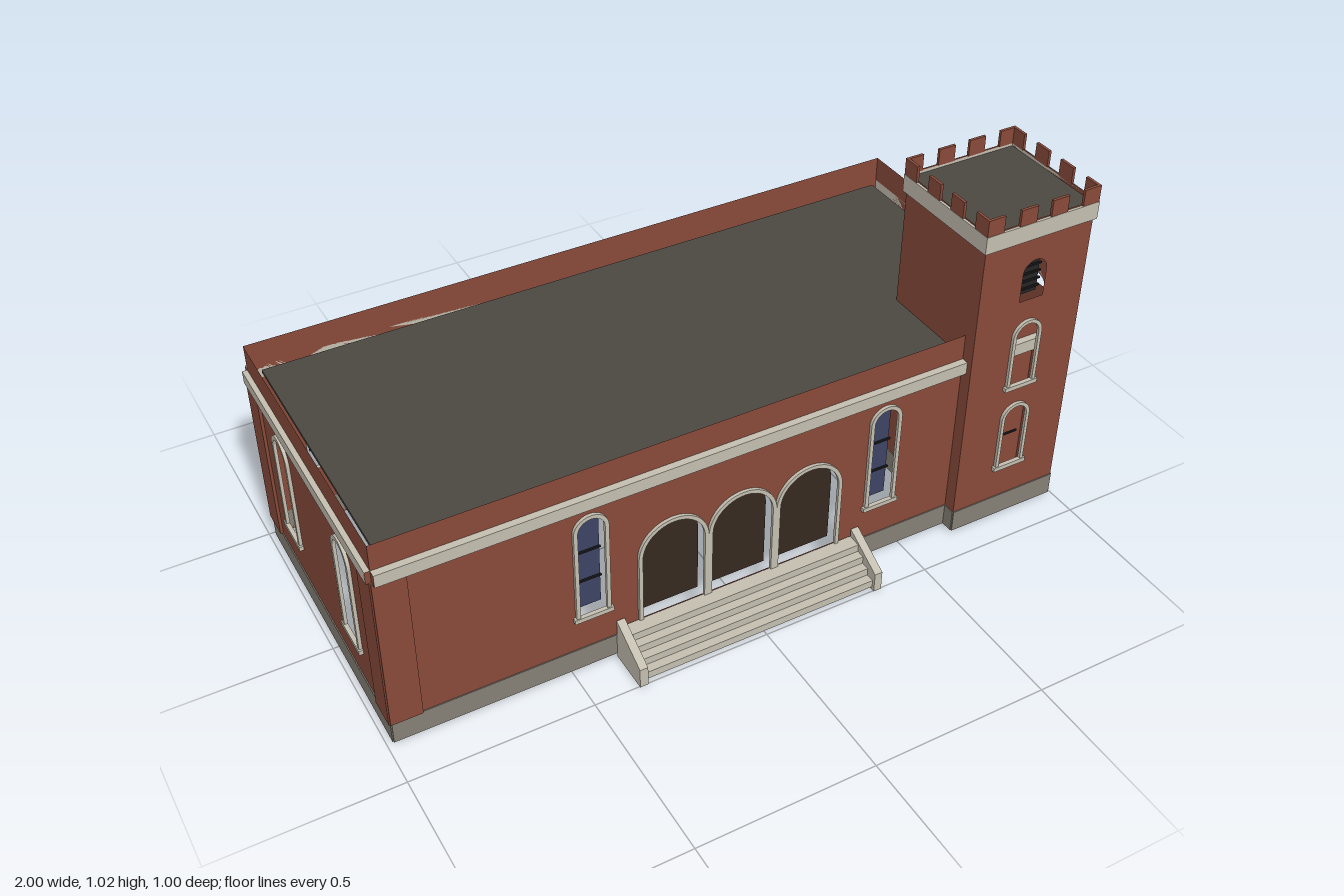
import * as THREE from 'three';

const mat = (name, color, side = THREE.FrontSide) => {
  const m = new THREE.MeshStandardMaterial({ color, side });
  m.name = name;
  return m;
};

export function createModel() {
  const D = THREE.DoubleSide;
  const brick = mat('brick', 0x884a3a, D);
  const stone = mat('pale stone', 0xc4beb0);
  const base = mat('plinth stone', 0x857f75);
  const roofing = mat('roofing', 0x4b4842);
  const glass = mat('blue glass', 0x3d4365, D);
  const timber = mat('dark timber', 0x35291f, D);
  const louver = mat('louver', 0x242424, D);
  const iron = mat('glazing bar', 0x1c1c20);

  const model = new THREE.Group();
  model.name = 'hallWithTower';

  const add = (parent, name, geo, material, x = 0, y = 0, z = 0) => {
    const m = new THREE.Mesh(geo, material);
    m.name = name;
    m.position.set(x, y, z);
    parent.add(m);
    return m;
  };
  const box = (parent, name, material, w, h, d, x, y, z) =>
    add(parent, name, new THREE.BoxGeometry(w, h, d), material, x, y, z);

  // Round-headed outline: half width r, bottom b, springing line s
  const arch = (P, x, r, b, s) => {
    const p = new P();
    p.moveTo(x - r, b);
    p.lineTo(x + r, b);
    p.lineTo(x + r, s);
    p.absarc(x, s, r, 0, Math.PI, false);
    p.closePath();
    return p;
  };
  // Surround following the legs and the arch
  const surround = (R, r, b, s) => {
    const p = new THREE.Shape();
    p.moveTo(-R, b);
    p.lineTo(-R, s);
    p.absarc(0, s, R, Math.PI, 0, true);
    p.lineTo(R, b);
    p.lineTo(r, b);
    p.lineTo(r, s);
    p.absarc(0, s, r, 0, Math.PI, false);
    p.lineTo(-r, b);
    p.closePath();
    return new THREE.ExtrudeGeometry(p, { depth: 0.009, bevelEnabled: false, curveSegments: 14 });
  };

  // Thin wall with arched openings; local +z is the outside
  const wall = (name, x, z, turn, width, top, openings) => {
    const g = new THREE.Group();
    g.name = name;
    g.position.set(x, 0, z);
    g.rotation.y = turn;
    model.add(g);
    const h = width / 2;
    const s = new THREE.Shape([[-h, 0.01], [h, 0.01], [h, top], [-h, top]].map(p => new THREE.Vector2(...p)));
    openings.forEach(o => s.holes.push(arch(THREE.Path, o.x, o.r, o.b, o.s)));
    add(g, 'brickWall', new THREE.ShapeGeometry(s, 14), brick);
    box(g, 'plinth', base, width, 0.066, 0.003, 0, 0.043, 0.0015);
    openings.forEach(o => {
      const w = new THREE.Group();
      w.name = o.name;
      w.position.x = o.x;
      g.add(w);
      if (o.R) add(w, 'surround', surround(o.R, o.r, o.b, o.s), stone);
      if (o.sill) box(w, 'sill', stone, o.R * 2 + 0.012, 0.013, 0.012, 0, o.b - 0.005, 0.006);
      if (o.pane) add(w, 'pane', new THREE.ShapeGeometry(arch(THREE.Shape, 0, o.r, o.b, o.s), 14), o.pane, 0, 0, -0.028);
      if (o.mullion) box(w, 'mullion', stone, 0.009, 0.29, 0.006, 0, o.b + 0.145, -0.024);
      (o.bars || []).forEach(y => box(w, 'glazingBar', iron, o.r * 2, 0.005, 0.005, 0, y, -0.021));
    });
    return g;
  };

  const sideWindow = (x, pane = glass) => ({
    name: 'archedWindow', x, r: 0.043, R: 0.055, b: 0.187, s: 0.45, sill: true, pane, mullion: true, bars: [0.275, 0.366]
  });
  const frontWindow = x => ({
    name: 'frontWindow', x, r: 0.037, R: 0.048, b: 0.187, s: 0.462, sill: true, pane: glass, bars: [0.28, 0.374]
  });
  const doorway = x => ({ name: 'archedDoorway', x, r: 0.089, R: 0.1, b: 0.1, s: 0.304, pane: timber });

  // Main hall
  const CX = -0.01, CZ = -0.052, W = 1.947, L = 0.856;
  const hall = [
    ['frontWall', CX, CZ + L / 2, 0, W,
      [-0.427, 0.427].map(frontWindow).concat([-0.2, 0, 0.2].map(doorway))],
    ['backWall', CX, CZ - L / 2, Math.PI, W,
      [-2.5, -1.5, -0.5, 0.5, 1.5, 2.5].map(i => sideWindow(i * 0.324, i > 1 ? null : glass))],
    ['rightWall', CX + W / 2, CZ, Math.PI / 2, L, [-0.216, 0.208].map(x => sideWindow(x))],
    ['leftWall', CX - W / 2, CZ, -Math.PI / 2, L, [-0.208, 0.216].map(x => sideWindow(x))]
  ];
  hall.forEach(([name, x, z, turn, width, openings], i) => {
    const g = wall(name, x, z, turn, width, 0.65, openings);
    // Frieze with brick ends, and corner pilasters
    const d = i < 2 ? 0.02 : 0.014;
    box(g, 'frieze', [brick, brick, stone, stone, stone, stone], width, 0.036, d, 0, 0.557, d / 2);
    [-1, 1].forEach(s => box(g, 'cornerPilaster', brick, 0.085, 0.464, 0.008, s * (width / 2 - 0.038), 0.308, 0.004));
  });
  box(model, 'hallRoof', roofing, 1.885, 0.01, 0.81, CX, 0.575, -0.05);

  // Tower
  const TX = 0.818, TZ = 0.245, TW = 0.337, H = TW / 2;
  const towerOpenings = [
    { name: 'lowerWindow', x: 0, r: 0.036, R: 0.046, b: 0.19, s: 0.35, sill: true, bars: [0.272] },
    { name: 'upperWindow', x: 0, r: 0.036, R: 0.046, b: 0.463, s: 0.621, sill: true },
    { name: 'belfryOpening', x: 0, r: 0.037, b: 0.73, s: 0.813, pane: louver, bars: [0.75, 0.773, 0.796, 0.819] }
  ];
  [0, 1, 2, 3].forEach(i => {
    const a = i * Math.PI / 2;
    const g = wall(['towerFront', 'towerRight', 'towerBack', 'towerLeft'][i],
      TX + Math.sin(a) * H, TZ + Math.cos(a) * H, a, TW, 0.975, i < 2 ? towerOpenings : []);
    box(g, 'towerBand', stone, TW + 0.014, 0.05, 0.007, 0, 0.946, 0.0035);
    // Battlements
    [-0.149, -0.0485, 0.0485, 0.149].forEach(x =>
      box(g, 'merlon', brick, 0.051, 0.047, 0.008, x, 0.9945, 0.002));
  });
  box(model, 'towerRoof', roofing, TW - 0.004, 0.008, TW - 0.004, TX, 0.96, TZ);

  // Entrance steps between sloping cheek walls
  const steps = new THREE.Group();
  steps.name = 'entranceSteps';
  model.add(steps);
  for (let i = 0; i < 4; i++) {
    const depth = 0.115 - i * 0.025;
    box(steps, 'step', stone, 0.69, 0.0225, depth, CX, 0.02125 + i * 0.0225, 0.379 + depth / 2);
  }
  const cheek = new THREE.Shape([[0.38, 0], [0.503, 0], [0.503, 0.06], [0.38, 0.126]].map(p => new THREE.Vector2(...p)));
  const cheekGeo = new THREE.ExtrudeGeometry(cheek, { depth: 0.023, bevelEnabled: false });
  cheekGeo.rotateY(-Math.PI / 2);
  [-0.351, 0.355].forEach(x => add(steps, 'cheekWall', cheekGeo, stone, x));

  return model;
}
